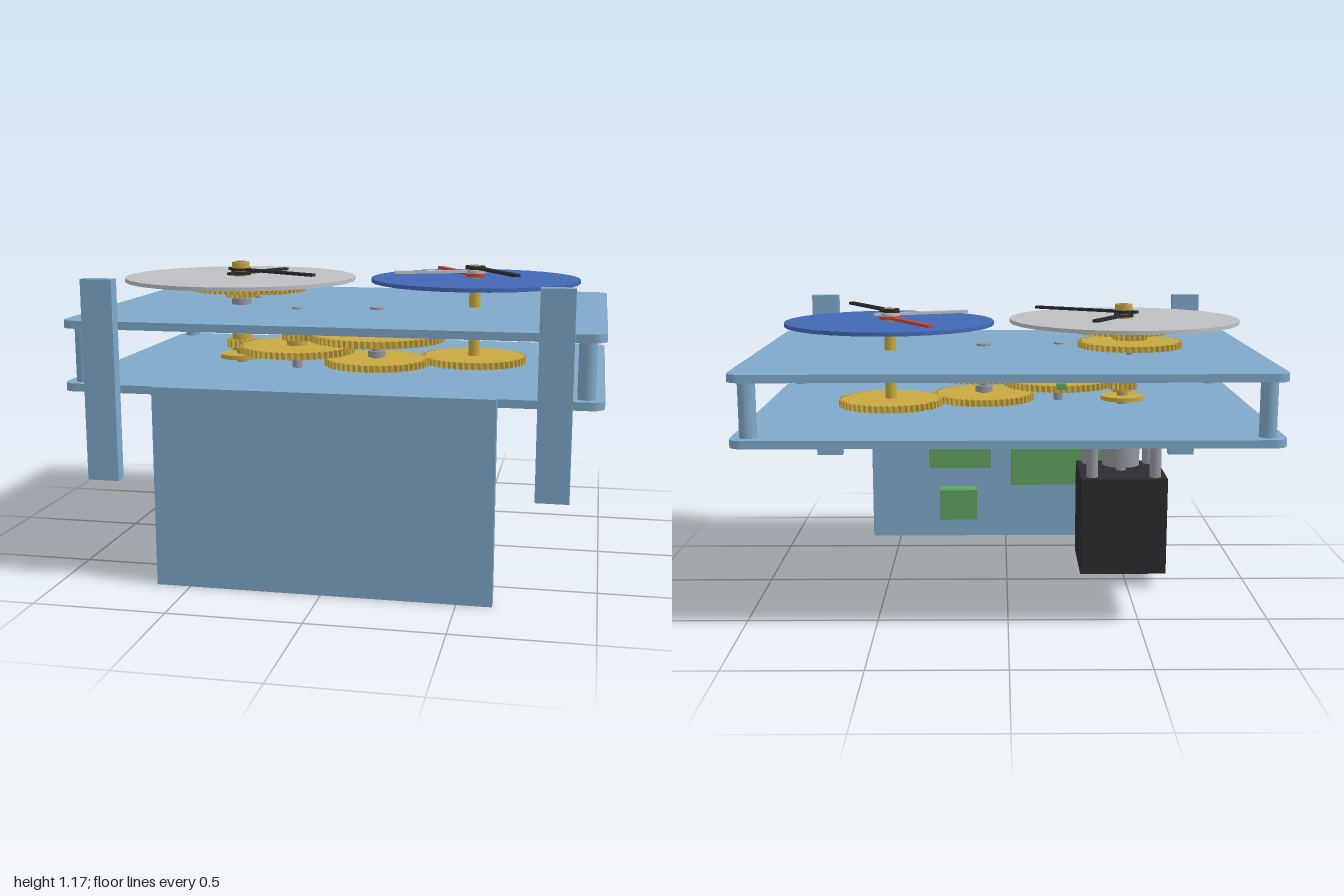
import * as THREE from 'three';

const COLORS = {
  plate: 0x7fa8c9, gold: 0xc9a840, steel: 0x9497a0, silver: 0xbebfc3,
  blue: 0x4169b5, black: 0x2b2b30, red: 0xc04a3c, green: 0x5fa05f,
};
const mats = {};
for (const k in COLORS) mats[k] = new THREE.MeshStandardMaterial({ color: COLORS[k] });

export function createModel() {
  const model = new THREE.Group();

  const add = (name, geo, mat, x = 0, y = 0, z = 0) => {
    const mesh = new THREE.Mesh(geo, mats[mat]);
    mesh.name = name;
    mesh.position.set(x, y, z);
    model.add(mesh);
    return mesh;
  };
  // Box from its extents on each axis
  const box = (name, mat, [x0, x1], [y0, y1], [z0, z1]) =>
    add(name, new THREE.BoxGeometry(x1 - x0, y1 - y0, z1 - z0), mat,
      (x0 + x1) / 2, (y0 + y1) / 2, (z0 + z1) / 2);
  // Upright cylinder between two heights
  const rod = (name, mat, [x, z], r, y0, y1, sides = 24) =>
    add(name, new THREE.CylinderGeometry(r, r, y1 - y0, sides), mat, x, (y0 + y1) / 2, z);
  // Flat shape in plan, extruded upward
  const slab = (shape, height, curveSegments = 8) =>
    new THREE.ExtrudeGeometry(shape, { depth: height, bevelEnabled: false, curveSegments })
      .rotateX(-Math.PI / 2);
  // Spur gear with trapezoid teeth
  const gear = (name, [x, z], r, y0, y1) => {
    const teeth = Math.max(10, Math.round(r * 250));
    const root = r - 0.016;
    const step = (Math.PI * 2) / teeth;
    const pts = [];
    for (let i = 0; i < teeth; i++) {
      for (const [f, q] of [[0, root], [0.3, root], [0.48, r], [0.82, r]]) {
        const a = (i + f) * step;
        pts.push(new THREE.Vector2(Math.cos(a) * q, Math.sin(a) * q));
      }
    }
    add(name, slab(new THREE.Shape(pts), y1 - y0), 'gold', x, y0, z);
  };
  // Clock hand with a round boss, aimed along (dx, dz)
  const hand = (name, mat, [x, z], [dx, dz], length, tail, y) => {
    const g = new THREE.Group();
    g.name = name;
    const blade = new THREE.Mesh(
      new THREE.BoxGeometry(length + tail, 0.011, 0.026).translate((length - tail) / 2, 0, 0), mats[mat]);
    const boss = new THREE.Mesh(new THREE.CylinderGeometry(0.04, 0.04, 0.013, 24), mats[mat]);
    blade.name = 'blade';
    boss.name = 'boss';
    g.add(blade, boss);
    g.position.set(x, y, z);
    g.rotation.y = Math.atan2(-dz, dx);
    model.add(g);
  };

  // Two rounded plates
  const w = 1, d = 0.695, r = 0.05;
  const outline = new THREE.Shape();
  outline.moveTo(-w + r, -d);
  outline.lineTo(w - r, -d).absarc(w - r, -d + r, r, -Math.PI / 2, 0);
  outline.lineTo(w, d - r).absarc(w - r, d - r, r, 0, Math.PI / 2);
  outline.lineTo(-w + r, d).absarc(-w + r, d - r, r, Math.PI / 2, Math.PI);
  outline.lineTo(-w, -d + r).absarc(-w + r, -d + r, r, Math.PI, Math.PI * 1.5);
  add('lowerPlate', slab(outline, 0.03), 'plate', 0, 0.72, -0.025);
  add('upperPlate', slab(outline, 0.03), 'plate', 0, 0.957, -0.025);

  // Corner pillars and front mounting posts
  for (const s of [-1, 1]) {
    for (const z of [0.605, -0.655]) rod('pillar', 'plate', [s * 0.935, z], 0.032, 0.75, 0.957);
    const xs = [s * 0.77, s * 0.89].sort((a, b) => a - b);
    box('mountingPost', 'plate', xs, [0.395, 1.147], [0.67, 0.72]);
  }

  // Front panel with electronics on its back
  box('frontPanel', 'plate', [-0.63, 0.63], [0, 0.757], [0.67, 0.72]);
  box('tallModule', 'green', [0.07, 0.355], [0.36, 0.57], [0.545, 0.67]);
  box('longModule', 'green', [-0.565, -0.025], [0.273, 0.52], [0.57, 0.67]);
  box('smallModule', 'green', [0.135, 0.31], [0.1, 0.243], [0.587, 0.67]);

  // Arbor positions in plan
  const main = [-0.48, 0.05], second = [-0.22, 0.148], third = [0.095, 0.095];
  const small = [0.473, -0.045], motion = [-0.48, -0.2];

  // Motor hung below the plate, with standoffs and coupling
  box('motor', 'black', [-0.657, -0.303], [0.062, 0.465], [-0.124, 0.23]);
  for (const sx of [-1, 1]) for (const sz of [-1, 1])
    rod('motorStandoff', 'steel', [main[0] + sx * 0.13, 0.054 + sz * 0.13], 0.024, 0.465, 0.72);
  rod('coupling', 'steel', [-0.48, 0.054], 0.078, 0.49, 0.695);
  rod('motorShaft', 'steel', main, 0.02, 0.465, 0.75);

  // Arbors
  rod('mainArbor', 'steel', main, 0.022, 0.75, 1.16);
  rod('secondArbor', 'steel', second, 0.02, 0.71, 0.993);
  rod('thirdArbor', 'steel', third, 0.02, 0.71, 0.993);
  rod('smallArbor', 'steel', small, 0.013, 0.71, 1.158);
  rod('smallArborTube', 'gold', small, 0.023, 0.765, 1.135);
  rod('motionArbor', 'steel', motion, 0.012, 0.985, 1.078);
  rod('collar', 'steel', main, 0.04, 0.99, 1.015);
  rod('collar', 'steel', third, 0.036, 0.795, 0.82);
  rod('bushing', 'steel', third, 0.03, 0.985, 0.995);

  // Gear train between the plates
  for (const [y0, y1] of [[0.763, 0.79], [0.915, 0.943]]) {
    gear('transferGear', third, 0.21, y0, y1);
    gear('smallDialGear', small, 0.212, y0, y1);
  }
  gear('thirdGear', third, 0.275, 0.865, 0.893);
  gear('secondPinion', second, 0.062, 0.862, 0.895);
  rod('secondHub', 'gold', second, 0.042, 0.84, 0.9);
  gear('secondGear', second, 0.232, 0.815, 0.842);
  gear('mainPinion', main, 0.062, 0.813, 0.845);
  rod('mainHub', 'gold', main, 0.04, 0.8, 0.87);
  rod('mainFlange', 'gold', main, 0.09, 0.768, 0.785);
  box('sensor', 'green', [-0.24, -0.2], [0.83, 0.852], [-0.1, -0.055]);

  // Motion work under the large dial
  gear('hourWheel', main, 0.197, 1.048, 1.072);
  gear('motionPinion', motion, 0.068, 1.048, 1.072);
  gear('motionWheel', motion, 0.205, 1.02, 1.042);
  gear('cannonPinion', main, 0.065, 1.02, 1.042);
  rod('hourTube', 'gold', main, 0.033, 1.04, 1.14);

  // Dials
  rod('largeDial', 'silver', main, 0.47, 1.09, 1.105, 28);
  rod('smallDial', 'blue', small, 0.42, 1.09, 1.105, 28);

  // Hands and caps
  hand('hourHand', 'black', main, [25, -43], 0.265, 0.065, 1.117);
  hand('minuteHand', 'black', main, [65, 37], 0.405, 0.06, 1.132);
  rod('handCap', 'gold', main, 0.036, 1.138, 1.163);
  rod('handCapTip', 'steel', main, 0.018, 1.16, 1.166);
  hand('redHand', 'red', small, [-34, -60], 0.37, 0.065, 1.117);
  hand('silverHand', 'silver', small, [-58, 21.5], 0.33, 0.065, 1.132);
  hand('blackHand', 'black', small, [35, 60], 0.375, 0.065, 1.147);
  rod('smallHandCap', 'gold', small, 0.022, 1.147, 1.156);

  return model;
}
